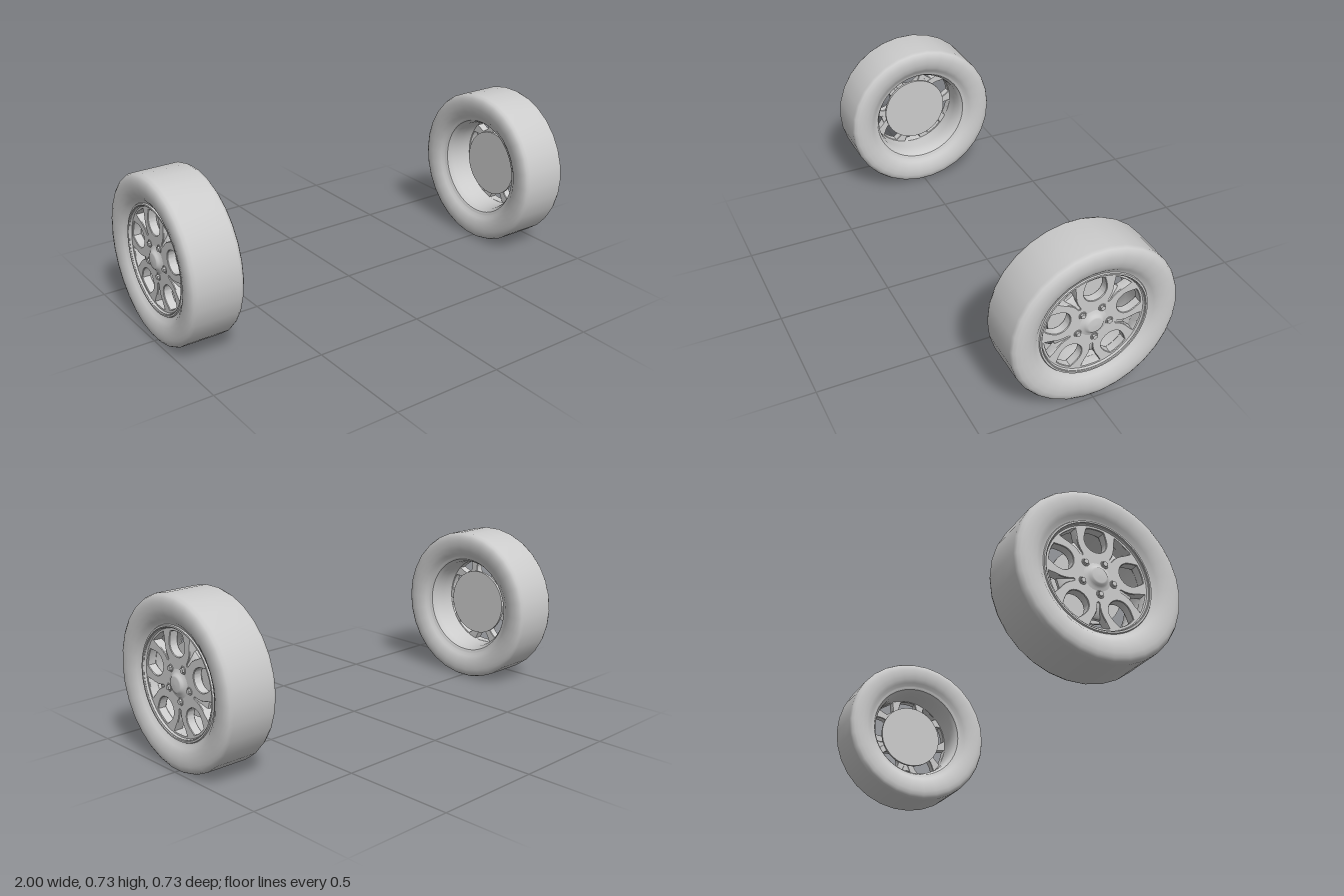
import * as THREE from 'three';
import { toCreasedNormals } from 'three/addons/utils/BufferGeometryUtils.js';

const material = new THREE.MeshStandardMaterial({ color: 0xcccccc, side: THREE.DoubleSide });
const STEP = (Math.PI * 2) / 5;
const AXLE_Y = 0.365, WHEEL_X = 0.877;
const FACE = 0.085, DEPTH = 0.04; // spoke plate front and thickness

function part(name, geometry) {
  const mesh = new THREE.Mesh(geometry, material);
  mesh.name = name;
  return mesh;
}

// Turned part about the z axis from [radius, z] points
function turned(points, segments) {
  const profile = points.map(([r, z]) => new THREE.Vector2(r, z));
  return new THREE.LatheGeometry(profile, segments).rotateX(Math.PI / 2).rotateZ(Math.PI / 2);
}

// Cylinder along z, centred at z
function disc(radius, depth, z, sides) {
  return new THREE.CylinderGeometry(radius, radius, depth, sides).rotateX(Math.PI / 2).translate(0, 0, z);
}

// Symmetric opening: half outline of [sideways, radial] points, turned to an angle
function opening(half, angle) {
  const mirrored = half.slice(0, -1).reverse().map(([t, r]) => [-t, r]);
  const turn = angle - Math.PI / 2;
  const points = [...half, ...mirrored].map(([t, r]) =>
    new THREE.Vector2(t, r).rotateAround(new THREE.Vector2(), turn));
  return new THREE.Path(points);
}

// Tyre with flat tread and rounded sidewalls
function tyreGeometry() {
  const side = [[0.24, 0.092], [0.25, 0.095], [0.262, 0.106], [0.28, 0.116], [0.305, 0.122],
    [0.33, 0.1225], [0.348, 0.118], [0.36, 0.11], [0.367, 0.096]];
  const inner = side.map(([r, z]) => [r, -z]);
  return turned([...inner, [0.367, 0], ...side.reverse()], 30);
}

// Rim flanges and hollow barrel
function rimGeometry() {
  return toCreasedNormals(turned([[0.241, 0.092], [0.238, 0.098], [0.231, 0.098], [0.229, 0.094],
    [0.227, 0.094], [0.226, 0.088], [0.219, 0.08], [0.216, 0.045], [0.214, -0.02], [0.218, -0.065],
    [0.226, -0.078], [0.232, -0.088], [0.241, -0.092]], 60), 0.5);
}

// Plate of five forked spokes
function spokeGeometry() {
  const shape = new THREE.Shape().absarc(0, 0, 0.2265, 0, Math.PI * 2, false);
  const curve = new THREE.SplineCurve([[0.039, 0.208], [0.048, 0.175], [0.049, 0.15], [0.039, 0.128],
    [0.02, 0.114], [0, 0.11]].map(([t, r]) => new THREE.Vector2(t, r)));
  const wide = [[0, 0.213], [0.02, 0.212], ...curve.getPoints(18).map((p) => [p.x, p.y])];
  const fork = [[0, 0.213], [0.022, 0.2125], [0.043, 0.21], [0.03, 0.185], [0.02, 0.169],
    [0.011, 0.15], [0.006, 0.13], [0.0045, 0.11], [0, 0.106]];
  for (let i = 0; i < 5; i++) {
    shape.holes.push(opening(wide, Math.PI / 2 + i * STEP));
    shape.holes.push(opening(fork, -Math.PI / 2 + i * STEP));
  }
  const bevel = 0.003;
  const plate = new THREE.ExtrudeGeometry(shape, {
    depth: DEPTH - 2 * bevel, curveSegments: 60,
    bevelEnabled: true, bevelThickness: bevel, bevelSize: bevel * 0.7, bevelOffset: -bevel * 0.7, bevelSegments: 1,
  }).translate(0, 0, FACE - DEPTH + bevel);
  return toCreasedNormals(plate, 0.6);
}

// Sloping floor of the groove that splits each spoke
function grooveGeometry(angle) {
  const back = FACE - DEPTH + 0.002;
  const shape = new THREE.Shape();
  shape.moveTo(back, 0.1);
  shape.lineTo(FACE - 0.002, 0.1);
  shape.quadraticCurveTo(FACE - 0.006, 0.145, back + 0.012, 0.168);
  shape.lineTo(back, 0.168);
  shape.closePath();
  return new THREE.ExtrudeGeometry(shape, { depth: 0.042, bevelEnabled: false, curveSegments: 8 })
    .translate(0, 0, -0.021).rotateY(-Math.PI / 2).rotateZ(angle - Math.PI / 2);
}

function createWheel(name) {
  const wheel = new THREE.Group();
  wheel.name = name;
  wheel.add(
    part('tyre', tyreGeometry()),
    part('rim', rimGeometry()),
    part('spokes', spokeGeometry()),
    part('hubCap', turned([[0.064, 0.084], [0.05, 0.088], [0.042, 0.094], [0.036, 0.1],
      [0.03, 0.103], [0, 0.104]], 30)),
    part('brakeDisc', disc(0.158, 0.012, -0.002, 40)),
    part('hub', disc(0.05, 0.05, 0.025, 24)),
  );
  for (let i = 0; i < 5; i++) {
    wheel.add(part('spokeGroove', grooveGeometry(-Math.PI / 2 + i * STEP)));

    // Hex nut in a raised collar
    const bolt = new THREE.Group();
    bolt.name = 'wheelNut';
    const angle = THREE.MathUtils.degToRad(-83) + i * STEP;
    bolt.position.set(0.073 * Math.cos(angle), 0.073 * Math.sin(angle), FACE);
    bolt.add(
      part('nutCollar', new THREE.TorusGeometry(0.0145, 0.0025, 6, 20)),
      part('nut', toCreasedNormals(disc(0.011, 0.012, 0.003, 6), 0.5)),
    );
    wheel.add(bolt);
  }
  return wheel;
}

export function createModel() {
  const model = new THREE.Group();
  model.name = 'wheelPair';
  for (const [name, side] of [['leftWheel', 1], ['rightWheel', -1]]) {
    const wheel = createWheel(name);
    wheel.rotation.y = side * Math.PI / 2;
    wheel.position.set(side * WHEEL_X, AXLE_Y, 0);
    model.add(wheel);
  }
  return model;
}
